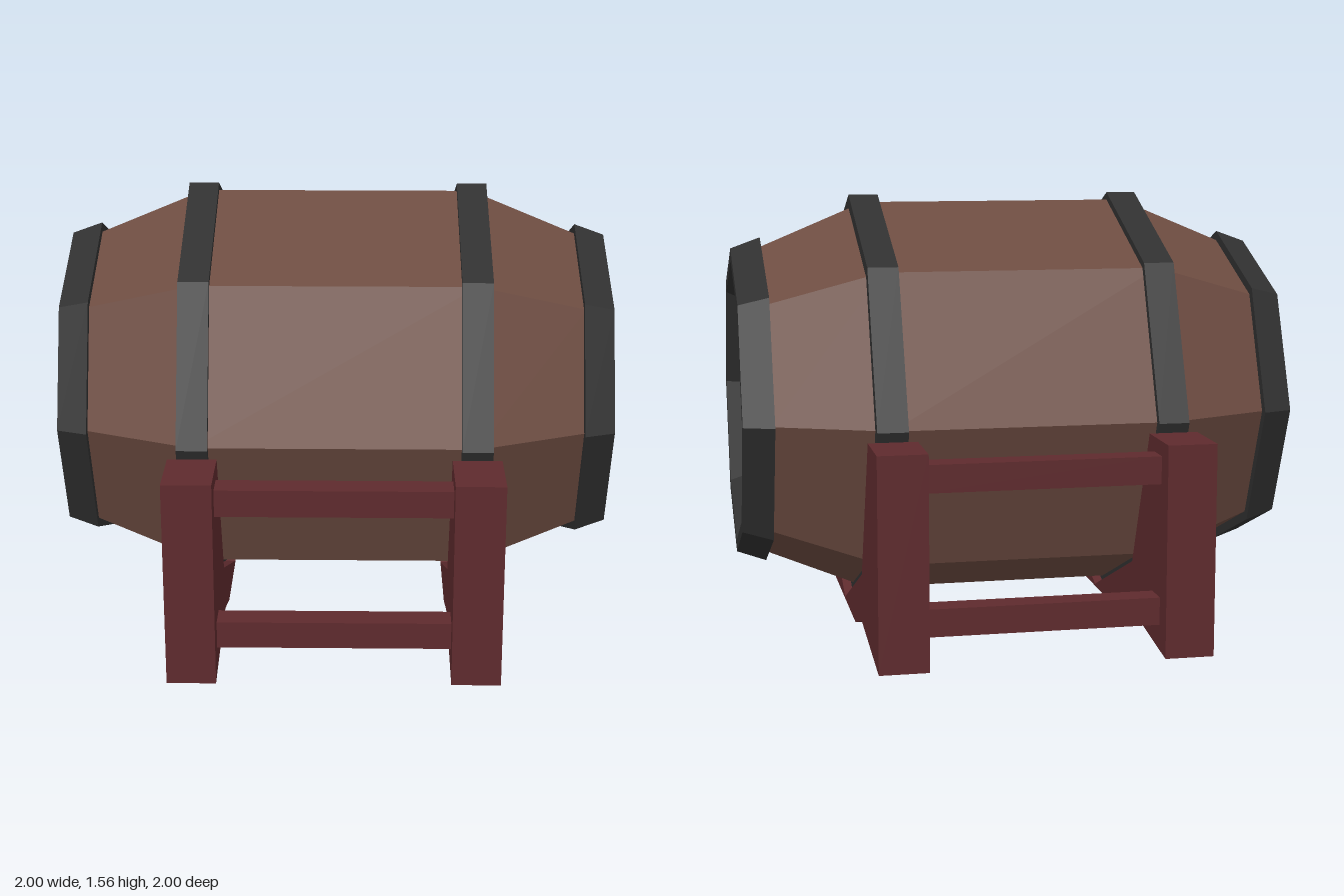
import * as THREE from 'three';

const AXIS_Y = 0.787; // height of the barrel's axis

const material = (color) => new THREE.MeshStandardMaterial({ color, flatShading: true });

export function createModel() {
  const model = new THREE.Group();
  const wood = material(0x6d4c41);
  const iron = material(0x303030);
  const paint = material(0x5e2a2d);

  const add = (name, geometry, mat, x = 0, y = 0, z = 0) => {
    const mesh = new THREE.Mesh(geometry, mat);
    mesh.name = name;
    mesh.position.set(x, y, z);
    model.add(mesh);
  };

  // Eight-sided turned part lying along x; profile is [radius, x] pairs
  const turned = (profile) =>
    new THREE.LatheGeometry(profile.map(([r, x]) => new THREE.Vector2(r, x)), 8).rotateZ(-Math.PI / 2);

  // Barrel body with flat recessed heads
  add('barrelBody', turned([
    [0, -0.9], [0.58, -0.9], [0.747, -0.5], [0.747, 0.5], [0.58, 0.9], [0, 0.9],
  ]), wood, 0, AXIS_Y);

  // Cradle plate in (z, y), cut out to follow the hoop
  const half = [[0.34, 0], [0.53, 0.06], [1, 0], [1, 0.752], [0.764, 0.752], [0.552, 0.237]];
  const outline = [
    ...half, [0, 0.007],
    ...half.slice().reverse().map(([z, y]) => [-z, y]),
  ].map(([z, y]) => new THREE.Vector2(z, y));
  const plate = new THREE.ExtrudeGeometry(new THREE.Shape(outline), { depth: 0.174, bevelEnabled: false });
  plate.translate(0, 0, -0.087).rotateY(-Math.PI / 2);

  // Tapered rim hoop with a bevelled inner lip
  const rim = [[0.57, 0.89], [0.62, 0.89], [0.58, 1], [0.535, 1], [0.475, 0.9], [0.57, 0.89]];

  for (const side of [1, -1]) {
    const label = side > 0 ? 'left' : 'right';
    const rimProfile = side > 0 ? rim : rim.map(([r, x]) => [r, -x]).reverse();
    add(label + 'RimHoop', turned(rimProfile), iron, 0, AXIS_Y);

    // Flat hoop around the belly
    add(label + 'BellyHoop', turned([
      [0.7, -0.055], [0.775, -0.055], [0.775, 0.055], [0.7, 0.055], [0.7, -0.055],
    ]), iron, side * 0.5, AXIS_Y);

    add(label + 'CradlePlate', plate, paint, side * 0.5);
  }

  // Rails joining the two cradle plates, front and back
  for (const [end, z] of [['front', 0.873], ['back', -0.873]]) {
    for (const [level, y] of [['Lower', 0.149], ['Upper', 0.651]]) {
      add(end + level + 'Rail', new THREE.BoxGeometry(0.84, 0.098, 0.095), paint, 0, y, z);
    }
  }

  return model;
}
